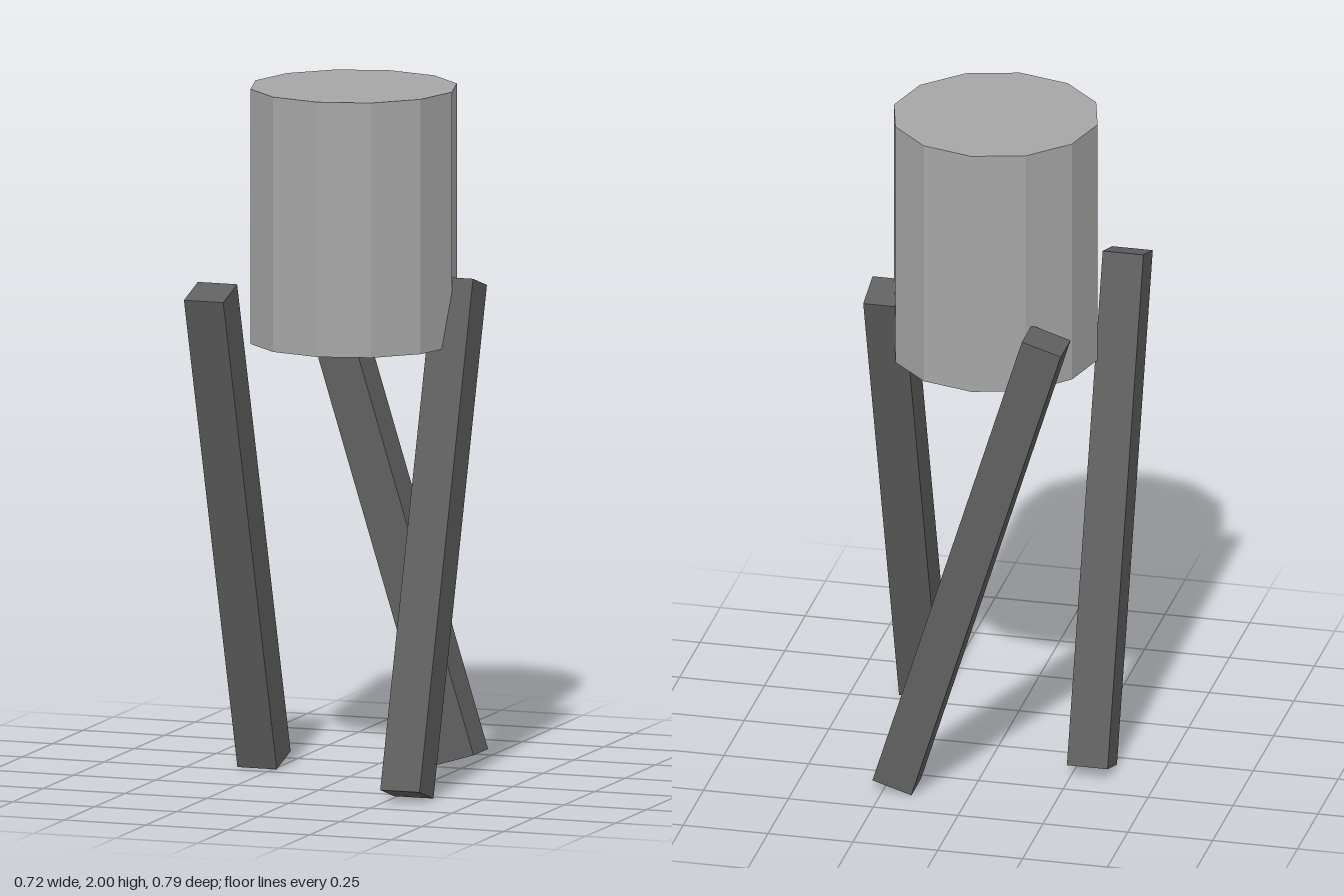
import * as THREE from 'three';

export function createModel() {
  const model = new THREE.Group();
  model.name = 'tankOnLegs';

  const lightGrey = new THREE.MeshStandardMaterial({ color: 0xa6a6a6 });
  lightGrey.name = 'light grey';
  const darkGrey = new THREE.MeshStandardMaterial({ color: 0x606060 });
  darkGrey.name = 'dark grey';

  // Faceted twelve-sided tank
  const tankGeometry = new THREE.CylinderGeometry(0.3, 0.3, 0.74, 12).toNonIndexed();
  tankGeometry.computeVertexNormals();
  const tank = new THREE.Mesh(tankGeometry, lightGrey);
  tank.name = 'tank';
  tank.position.set(0, 1.63, -0.036);
  model.add(tank);

  // Three square legs, each leaning sideways around the tank
  const legGeometry = new THREE.BoxGeometry(0.12, 1.49, 0.12);
  const lean = 0.3;
  const legs = [
    { name: 'leftLeg', position: [0.3, 0.73, 0.114], rotation: [-lean, 0, 0] },
    { name: 'rightLeg', position: [-0.3, 0.73, 0.114], rotation: [lean, 0, 0] },
    { name: 'backLeg', position: [0, 0.73, -0.335], rotation: [0, 0, lean] },
  ];
  for (const { name, position, rotation } of legs) {
    const leg = new THREE.Mesh(legGeometry, darkGrey);
    leg.name = name;
    leg.position.set(...position);
    leg.rotation.set(...rotation);
    model.add(leg);
  }

  return model;
}
